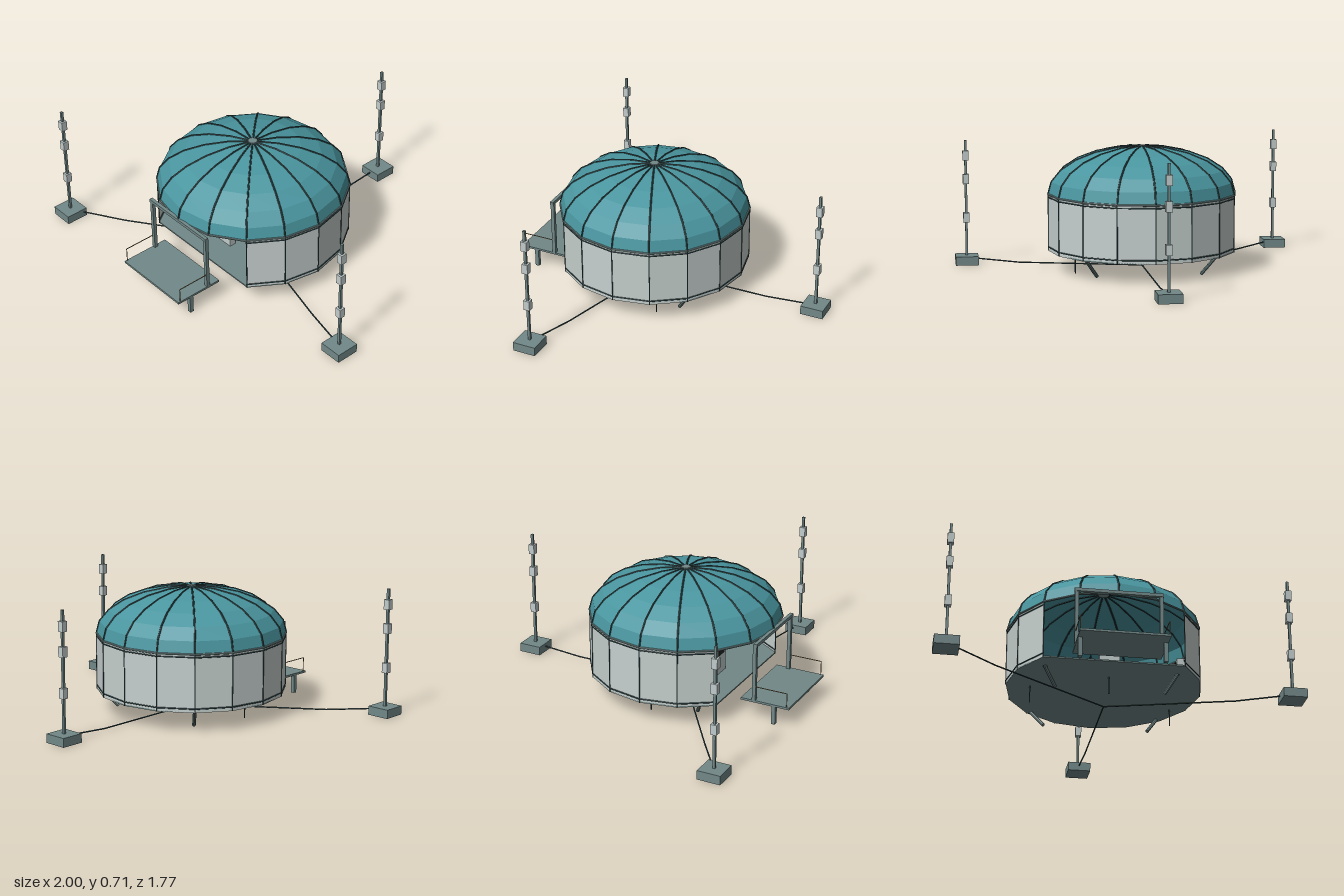
import * as THREE from 'three';

const mat = (color, extra = {}) =>
  new THREE.MeshStandardMaterial({ color, flatShading: true, side: THREE.DoubleSide, ...extra });
const M = {
  dome: mat(0x4a96a0), wall: mat(0xc6d0ce), steel: mat(0x728888), dark: mat(0x2f4648),
  box: mat(0xc2cccc), screen: mat(0x23292b), red: mat(0xb03a20), rail: mat(0x8a7a50),
};
const V = (x, y, z) => new THREE.Vector3(x, y, z);
const R = 0.53, FLOOR = 0.11, EAVE = 0.43, SIDES = 16;

export function createModel() {
  const root = new THREE.Group();
  root.name = 'domeStation';

  const add = (name, geo, material, parent = root) => {
    const m = new THREE.Mesh(geo, material);
    m.name = name;
    parent.add(m);
    return m;
  };
  const box = (name, w, h, d, x, y, z, material, parent) => {
    const m = add(name, new THREE.BoxGeometry(w, h, d), material, parent);
    m.position.set(x, y, z);
    return m;
  };
  // Round bar between two points
  const bar = (name, a, b, r, material, parent) => {
    const m = add(name, new THREE.CylinderGeometry(r, r, a.distanceTo(b), 8), material, parent);
    m.position.copy(a).add(b).multiplyScalar(0.5);
    m.quaternion.setFromUnitVectors(V(0, 1, 0), b.clone().sub(a).normalize());
    return m;
  };
  // Bars along a list of points
  const chain = (name, pts, r, material, parent) => {
    const g = new THREE.Group();
    g.name = name;
    parent.add(g);
    for (let i = 1; i < pts.length; i++) bar(name + 'Segment', pts[i - 1], pts[i], r, material, g);
  };
  // Points on the plan polygon, angle 0 at the front
  const arc = (from, to, r, y) => {
    const pts = [];
    for (let i = from; i <= to; i++) {
      const a = (i / SIDES) * Math.PI * 2;
      pts.push(V(r * Math.sin(a), y, r * Math.cos(a)));
    }
    return pts;
  };

  const hut = new THREE.Group();
  hut.name = 'hut';
  hut.position.set(-0.045, 0, 0.155);
  root.add(hut);

  // Dome roof with ribs and a small cap
  const profile = [];
  for (let i = 0; i <= 6; i++) {
    const t = (i / 6) * Math.PI / 2;
    profile.push(new THREE.Vector2(Math.max(R * Math.cos(t), 0.0001), EAVE + 0.265 * Math.sin(t)));
  }
  add('domeRoof', new THREE.LatheGeometry(profile, SIDES), M.dome, hut);
  for (let i = 0; i < SIDES; i++) {
    const a = (i / SIDES) * Math.PI * 2;
    chain('roofRib', profile.map(p => V(p.x * Math.sin(a), p.y, p.x * Math.cos(a))), 0.005, M.dark, hut);
  }
  add('roofCap', new THREE.CylinderGeometry(0.025, 0.03, 0.012, SIDES), M.steel, hut).position.y = 0.694;
  chain('eaveRing', arc(0, SIDES, R, EAVE), 0.006, M.steel, hut);

  // Wall, open across the front quarter
  const wall = new THREE.CylinderGeometry(R, R, EAVE - FLOOR, 12, 1, true, Math.PI / 4, Math.PI * 1.5);
  add('wall', wall, M.wall, hut).position.y = (EAVE + FLOOR) / 2;
  for (const y of [0.132, 0.414]) chain('wallBand', arc(2, 14, R, y), 0.004, M.dark, hut);
  for (const p of arc(2, 14, R, FLOOR))
    bar('wallSeam', p, V(p.x, EAVE, p.z), 0.003, M.dark, hut);

  // Floor plate cut straight at the front
  const plan = new THREE.Shape(arc(2, 14, R, 0).map(p => new THREE.Vector2(p.x, -p.z)));
  const floor = new THREE.ExtrudeGeometry(plan, { depth: 0.008, bevelEnabled: false }).rotateX(-Math.PI / 2);
  add('floor', floor, M.steel, hut).position.y = FLOOR;

  // Slanted legs and thin service pipes below the floor
  for (const s of [-1, 1]) {
    bar('frontLeg', V(s * 0.355, FLOOR, 0.275), V(s * 0.29, 0.01, 0.225), 0.01, M.steel, hut);
    bar('backLeg', V(s * 0.355, FLOOR, -0.355), V(s * 0.29, 0.01, -0.29), 0.01, M.steel, hut);
  }
  for (const [x, z] of [[0.4, -0.2], [-0.4, 0], [0, 0.18]])
    bar('servicePipe', V(x, 0.012, z), V(x, FLOOR, z), 0.003, M.dark, hut);

  // Control consoles: one facing the entrance, one on each side
  for (const [x, z, turn] of [[0, 0.2, 0], [-0.4, 0.08, Math.PI / 2], [0.4, 0.08, -Math.PI / 2]]) {
    const c = new THREE.Group();
    c.name = 'console';
    c.position.set(x, FLOOR, z);
    c.rotation.y = turn;
    hut.add(c);
    box('consoleBody', 0.11, 0.15, 0.04, 0, 0.083, 0, M.box, c);
    box('consoleScreen', 0.07, 0.032, 0.004, 0, 0.132, 0.021, M.screen, c);
    box('consoleLamp', 0.012, 0.01, 0.004, 0, 0.143, 0.024, M.red, c);
  }

  // Entrance frame and deck
  box('entranceBeam', 0.47, 0.018, 0.02, 0, 0.433, 0.528, M.steel, hut);
  box('deck', 0.465, 0.012, 0.28, 0, 0.11, 0.59, M.steel, hut);
  for (const s of [-1, 1]) {
    box('entrancePost', 0.02, 0.32, 0.02, s * 0.223, 0.27, 0.525, M.steel, hut);
    box('deckLeg', 0.022, 0.105, 0.022, s * 0.22, 0.0525, 0.64, M.steel, hut);
    const x = s * 0.228;
    chain('deckRail', [V(x, 0.115, 0.715), V(x, 0.195, 0.715), V(x, 0.195, 0.53)], 0.0025, M.rail, hut);
  }

  // Anchored masts with equipment boxes and ground cables
  const hub = V(-0.045, 0.015, 0.155);
  for (const [x, z] of [[-0.045, -0.822], [0.933, 0.42], [-0.935, 0.775]]) {
    const mast = new THREE.Group();
    mast.name = 'mast';
    mast.position.set(x, 0, z);
    root.add(mast);
    box('mastBase', 0.13, 0.05, 0.13, 0, 0.025, 0, M.steel, mast);
    box('mastPole', 0.014, 0.665, 0.014, 0, 0.38, 0, M.steel, mast);
    for (const y of [0.268, 0.49, 0.625])
      box('mastUnit', 0.034, 0.056, 0.034, 0, y, 0, M.box, mast);
    const bend = hub.clone().lerp(V(x, 0.015, z), 0.7);
    chain('groundCable', [V(x, 0.037, z), bend, hub], 0.004, M.dark, root);
  }
  return root;
}
